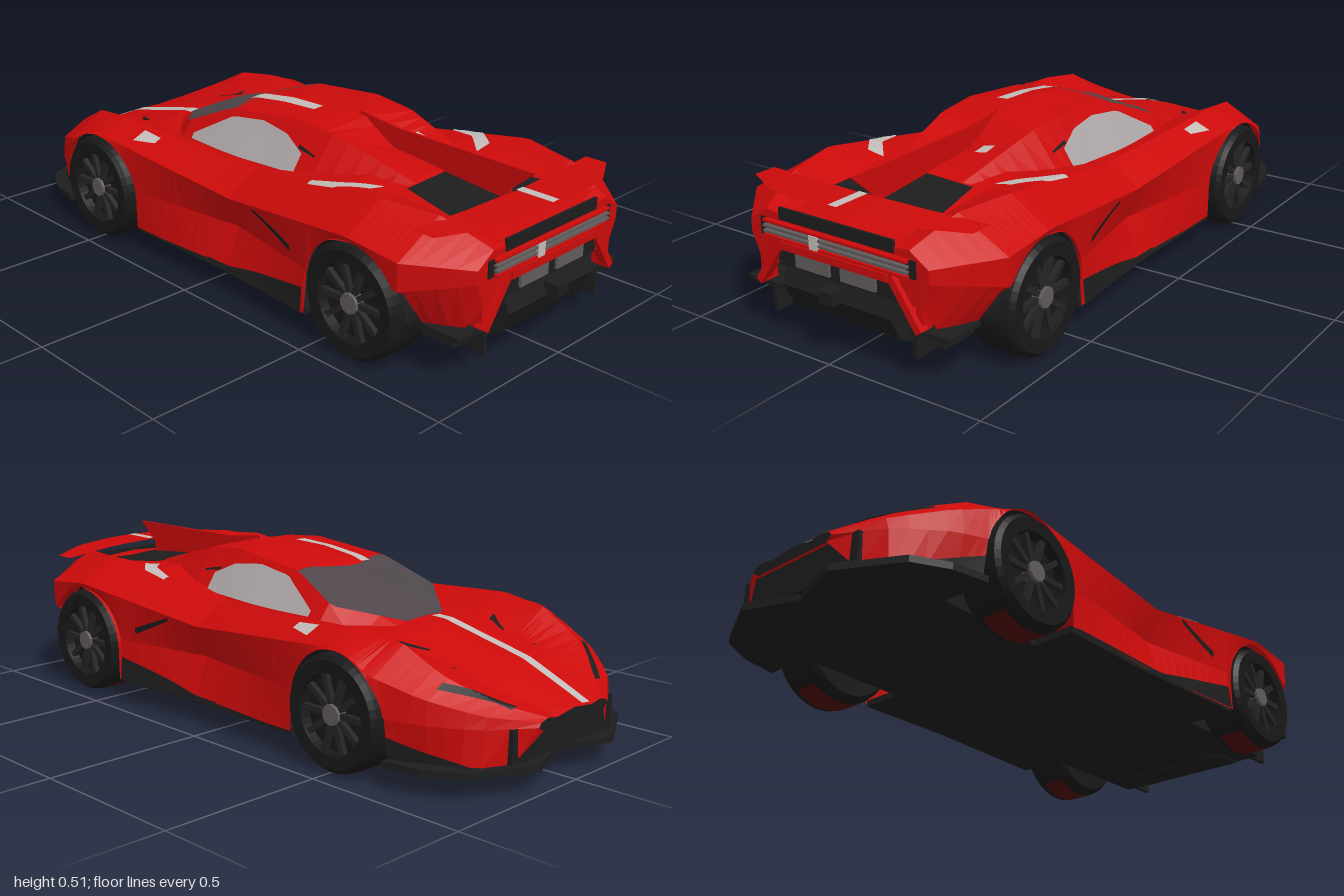
import * as THREE from 'three';

const mat = (name, color) => new THREE.MeshStandardMaterial({ name, color, side: THREE.DoubleSide, flatShading: true });
const M = {
  red: mat('red paint', 0xcc0a0a), black: mat('black carbon', 0x1d1d1d), tyre: mat('tyre rubber', 0x181818),
  rim: mat('dark rim', 0x242424), hub: mat('hub grey', 0x625c5c), glass: mat('windshield glass', 0x4e464a),
  window: mat('side glass', 0xaca5a5), stripe: mat('pale stripe', 0xc2bcb8), tread: mat('dark red tread', 0x500a0a),
};
const AXLES = [-0.51, 0.63], ARCH = 0.178, HUB_Y = 0.168, NOSE = -0.985, TAIL = 0.95;
const { lerp, clamp } = THREE.MathUtils;

// Piecewise straight rail: value over x
const line = (...pts) => x => {
  let i = 0;
  while (i < pts.length - 2 && x > pts[i + 1][0]) i++;
  const [a, b] = [pts[i], pts[i + 1]];
  return lerp(a[1], b[1], clamp((x - a[0]) / (b[0] - a[0]), 0, 1));
};
const flat = v => () => v;
const plus = (f, g) => x => f(x) + g(x);

// Body rails [z, y] from the centre line to the sill
const centreY = line([NOSE, .2], [-.78, .285], [-.5, .35], [.1, .37], [.45, .42], [TAIL, .375]);
const shoulderZ = line([NOSE, .15], [-.9, .29], [-.78, .385], [-.65, .435], [.1, .405], [.62, .45], [.8, .445], [TAIL, .31]);
const BODY = [
  [flat(0), centreY],
  [line([NOSE, .08], [-.78, .18], [-.2, .24], [.1, .24], [.62, .2], [TAIL, .18]), plus(centreY, flat(-.01))],
  [line([NOSE, .12], [-.9, .23], [-.78, .3], [-.5, .33], [.1, .3], [.62, .33], [TAIL, .25]),
    line([NOSE, .197], [-.65, .37], [-.5, .388], [.1, .362], [.62, .438], [.8, .43], [TAIL, .37])],
  [shoulderZ, line([NOSE, .19], [-.5, .35], [.1, .3], [.62, .362], [TAIL, .33])],
  [plus(shoulderZ, line([NOSE, .01], [-.4, .005], [.1, -.04], [.45, -.01], [TAIL, 0])),
    line([NOSE, .178], [-.6, .2], [.45, .2], [TAIL, .29])],
  [line([NOSE, .14], [-.9, .31], [-.65, .43], [.1, .41], [.62, .45], [TAIL, .28]),
    line([NOSE, .165], [-.95, .08], [.45, .07], [.62, .15], [.91, .15], [TAIL, .22])],
];
// Cabin rails: roof ridge sinking between rear buttresses, roof edge, belt line
const CABIN = [
  [flat(0), line([-.46, .362], [-.3, .432], [-.13, .488], [0, .507], [.26, .507], [.38, .432], [.58, .415])],
  [line([-.46, .08], [-.3, .225], [-.13, .19], [.3, .165], [.58, .13]), line([-.46, .358], [-.3, .4], [-.13, .472], [.15, .502], [.3, .49], [.58, .41])],
  [line([-.46, .12], [-.3, .265], [0, .28], [.3, .26], [.58, .17]), line([.15, .35], [.58, .385])],
];
const section = (rails, x) => rails.map(([z, y]) => [z(x), y(x)]);

// Height over z on the top, and width over y on the flank
function topY(rails, x, z) {
  const p = section(rails, x), last = Math.min(p.length - 2, 2);
  let k = 0;
  while (k < last && z > p[k + 1][0]) k++;
  return lerp(p[k][1], p[k + 1][1], (z - p[k][0]) / (p[k + 1][0] - p[k][0]));
}
function sideZ(rails, x, y, first) {
  const p = section(rails, x);
  let k = first;
  while (k < p.length - 2 && y < p[k + 1][1]) k++;
  return lerp(p[k][0], p[k + 1][0], (y - p[k][1]) / (p[k + 1][1] - p[k][1]));
}
// Surface through rows of points
function grid(rows) {
  const n = rows[0].length, idx = [];
  for (let i = 0; i < rows.length - 1; i++) for (let j = 0; j < n - 1; j++) {
    const a = i * n + j, b = a + n;
    idx.push(a, a + 1, b, b, a + 1, b + 1);
  }
  const g = new THREE.BufferGeometry();
  g.setAttribute('position', new THREE.Float32BufferAttribute(rows.flat(2), 3));
  g.setIndex(idx);
  const faceted = g.toNonIndexed();
  faceted.computeVertexNormals();
  return faceted;
}
const steps = (a, b, n) => Array.from({ length: n + 1 }, (_, i) => lerp(a, b, i / n));
const mirrorRow = (x, p) => [...p.slice(1).reverse().map(([z, y]) => [x, y, -z]), ...p.map(([z, y]) => [x, y, z])];

// Body section with the wheel arches cut into its lower edge
function bodySection(x) {
  let edge = 0;
  for (const c of AXLES) if (Math.abs(x - c) <= ARCH + 1e-6) edge = HUB_Y + Math.sqrt(Math.max(0, ARCH ** 2 - (x - c) ** 2));
  return section(BODY, x).map(([z, y], k) => [z, k > 2 ? Math.max(y, edge) : y]);
}

export function createModel() {
  const car = new THREE.Group();
  car.name = 'sportsCar';
  const add = (name, geo, m, x = 0, y = 0, z = 0, parent = car) => {
    const mesh = new THREE.Mesh(geo, m);
    mesh.name = name;
    mesh.position.set(x, y, z);
    parent.add(mesh);
    return mesh;
  };
  const box = (name, m, w, h, d, x, y, z) => add(name, new THREE.BoxGeometry(w, h, d), m, x, y, z);
  const both = (name, geo, m) => { add(name, geo, m); add(name, geo, m).scale.z = -1; };
  const shapeOf = pts => new THREE.Shape(pts.map(p => new THREE.Vector2(...p)));
  const slab = (pts, depth) => new THREE.ExtrudeGeometry(shapeOf(pts), { depth, bevelEnabled: false });
  const plan = (half, depth) => slab([...half, ...half.slice().reverse().filter(p => p[1] > 0).map(([x, z]) => [x, -z])], depth).rotateX(Math.PI / 2);

  // Body shell
  const xs = steps(NOSE, TAIL, 50);
  for (const c of AXLES) {
    xs.push(c - ARCH - 0.0005, c + ARCH + 0.0005);
    for (let k = 0; k <= 20; k++) xs.push(c - ARCH * Math.cos(k * Math.PI / 20));
  }
  xs.sort((a, b) => a - b);
  add('bodyShell', grid(xs.map(x => mirrorRow(x, bodySection(x)))), M.red);

  // Tail and nose closing panels
  for (const [name, x, m] of [['tailPanel', TAIL - 0.001, M.red], ['noseCap', NOSE + 0.001, M.black]]) {
    const s = shapeOf(mirrorRow(x, section(BODY, x)).map(p => [-p[2], p[1]]));
    add(name, new THREE.ShapeGeometry(s).rotateY(Math.PI / 2), m, x);
  }

  // Cabin: windshield, roof and sides
  const strip = (x0, x1, a, b) => grid(steps(x0, x1, 18).map(x => mirrorRow(x, section(CABIN, x)).slice(a, b)));
  add('windshield', strip(-0.46, -0.12, 1, 4), M.glass);
  add('roof', strip(-0.12, 0.58, 1, 4), M.red);
  both('cabinSide', strip(-0.46, 0.58, 3, 5), M.red);

  // Thin patches lying on the top or on the flank; lo and hi depend on x
  const patch = (fn, x0, x1, lo, hi, n = 16) =>
    grid(steps(x0, x1, n).map(x => steps(lo(x), hi(x), 4).map(v => fn(x, v))));
  const onTop = (rails, lift = 0.004) => (x, z) => [x, topY(rails, x, Math.abs(z)) + lift, z];
  const onSide = (rails, first) => (x, y) => [x, y, sideZ(rails, x, y, first) + 0.005];
  const hood = onTop(BODY), roof = onTop(CABIN), flank = onSide(BODY, 3), cabinSide = onSide(CABIN, 1);
  add('roofLip', patch(onTop(CABIN, 0.002), -0.175, -0.12, line([-.175, -.02], [-.12, -.16]), line([-.175, .02], [-.12, .16])), M.red);

  // Windows
  both('sideWindow', patch(cabinSide, -0.24, 0.22, line([-.1, .364], [.22, .372]),
    line([-.24, .38], [-.1, .458], [.03, .474], [.14, .462], [.22, .425]), 24), M.window);
  both('quarterWindow', patch(cabinSide, 0.2, 0.27, line([.2, .435], [.27, .425]), line([.2, .445], [.27, .43])), M.black);

  // Painted stripes and pale patches
  add('hoodStripe', patch(hood, -0.98, -0.45, flat(0.042), flat(0.078), 30), M.stripe);
  add('roofStripe', patch(roof, -0.16, 0.13, flat(0.045), flat(0.085)), M.stripe);
  add('fuelMark', patch(roof, 0.385, 0.43, flat(-0.098), flat(-0.055)), M.stripe);
  both('fenderPatch', patch(hood, -0.37, -0.29, flat(0.345), line([-.37, .395], [-.29, .37])), M.stripe);
  both('rearFenderPatch', patch(hood, 0.35, 0.53,
    line([.35, .305], [.45, .275], [.53, .2]), line([.45, .325], [.53, .26])), M.stripe);

  // Dark panels: engine cover, headlights, hood vents, sills, front corners
  add('engineCover', patch(hood, 0.58, 0.83, line([.58, -.165], [.83, -.205]), line([.58, .165], [.83, .205])), M.black);
  both('headlight', patch(hood, -0.93, -0.79, line([-.93, .18], [-.79, .315]), line([-.93, .205], [-.79, .34])), M.black);
  both('hoodVent', patch(hood, -0.62, -0.54, line([-.62, .16], [-.54, .2]), line([-.62, .172], [-.54, .225])), M.black);
  both('sill', patch(flank, -0.32, 0.44, flat(0.07), line([-.32, .075], [.1, .085], [.22, .11], [.44, .145])), M.black);
  both('frontCorner', patch(flank, -0.9, -0.692, flat(0.08), line([-.9, .083], [-.8, .11], [-.692, .145])), M.black);
  both('sideIntake', patch(flank, 0.22, 0.38, line([.22, .298], [.38, .23]), line([.22, .308], [.38, .25])), M.black);

  // Flat floor with splitter and wheel notches, the inner chassis and arch liners
  add('floor', plan([[-.94, 0], [-1, .17], [-.9, .36], [-.8, .415], [-.69, .435], [-.69, .28], [-.33, .28], [-.33, .415],
    [0, .41], [.45, .43], [.45, .28], [.86, .28], [.86, 0]], 0.02), M.black, 0, 0.083, 0);
  box('frontChassis', M.black, 0.42, 0.22, 0.54, -0.51, 0.18, 0);
  box('rearChassis', M.black, 0.4, 0.28, 0.56, 0.65, 0.22, 0);
  box('noseIntake', M.black, 0.08, 0.1, 0.46, -0.915, 0.13, 0);
  const liner = new THREE.CylinderGeometry(ARCH + 0.002, ARCH + 0.002, 0.17, 24, 1, true, Math.PI / 2, Math.PI).rotateX(Math.PI / 2);
  for (const x of AXLES) for (const s of [-1, 1]) add('archLiner', liner, M.black, x, HUB_Y, s * 0.335);

  // Rear diffuser, strakes and tail details
  add('diffuser', slab([[.75, .06], [.86, .06], [.93, .1], [.965, .17], [.94, .23], [.75, .23]], 0.38), M.black, 0, 0, -0.19);
  box('diffuserTip', M.black, 0.06, 0.035, 0.05, 0.97, 0.19, 0);
  for (const s of [-1, 1]) {
    box('rearStrake', M.black, 0.13, 0.014, 0.13, 0.87, 0.14, s * 0.29);
    box('diffuserFin', M.black, 0.16, 0.07, 0.012, 0.86, 0.1, s * 0.25);
    box('bumperArm', M.red, 0.03, 0.17, 0.022, 0.95, 0.225, s * 0.235).rotation.x = s * -0.6;
    box('bumperPost', M.red, 0.04, 0.13, 0.02, 0.93, 0.22, s * 0.275);
    box('exhaustPanel', M.hub, 0.008, 0.04, 0.12, 0.957, 0.25, s * 0.08);
  }
  box('tailLightBand', M.black, 0.008, 0.035, 0.4, 0.949, 0.368, 0);
  box('tailGrille', M.black, 0.008, 0.05, 0.54, 0.949, 0.32, 0);
  box('lowerGrille', M.black, 0.008, 0.06, 0.42, 0.949, 0.25, 0);
  box('bumperBar', M.red, 0.04, 0.022, 0.38, 0.95, 0.285, 0);
  [[.342, M.red], [.327, M.hub], [.312, M.hub], [.3, M.red]].forEach(([y, m]) => box('tailSlat', m, 0.025, 0.007, 0.5, 0.953, y, 0));
  box('tailMark', M.stripe, 0.008, 0.04, 0.03, 0.963, 0.318, 0.065);

  // Drooping rear wing, its stripe and the central fin
  const wingPoint = lift => (z, x) => [x, 0.43 - 0.11 * z * z + lift, z];
  const mirrored = f => z => f(Math.abs(z));
  add('rearWing', patch(wingPoint(0), -0.38, 0.38, mirrored(line([0, .835], [.2, .82], [.38, .79])),
    mirrored(line([0, .97], [.1, .965], [.25, .935], [.38, .86])), 24), M.red);
  add('wingStripe', patch(wingPoint(0.004), -0.015, 0.015, flat(0.835), flat(0.955), 2), M.stripe);
  add('centralFin', slab([[.24, .5], [.25, .513], [.4, .495], [.885, .49], [.81, .425], [.81, .39], [.5, .4], [.36, .43]], 0.01), M.red, 0, 0, -0.005);

  // Wheels
  const halfTyre = [[.115, .072], [.152, .075], [.164, .062], [.168, .04]];
  const tyreProfile = [...halfTyre.map(([r, w]) => [r, -w]), ...halfTyre.slice().reverse(), [.113, .04]];
  const tyre = new THREE.LatheGeometry(tyreProfile.map(p => new THREE.Vector2(...p)), 40).rotateX(Math.PI / 2);
  const tread = new THREE.CylinderGeometry(0.1685, 0.1685, 0.08, 12, 1, true, -0.6, 1.2).rotateX(Math.PI / 2);
  const disc = new THREE.CylinderGeometry(0.118, 0.118, 0.08, 32).rotateX(Math.PI / 2);
  const hub = new THREE.CylinderGeometry(0.03, 0.032, 0.03, 10).rotateX(Math.PI / 2);
  const spoke = new THREE.BoxGeometry(0.1, 0.017, 0.016);
  for (const x of AXLES) for (const s of [-1, 1]) {
    const wheel = new THREE.Group();
    wheel.name = (x < 0 ? 'front' : 'rear') + 'Wheel';
    wheel.position.set(x, HUB_Y, s * 0.374);
    if (s < 0) wheel.rotation.y = Math.PI;
    add('tyre', tyre, M.tyre, 0, 0, 0, wheel);
    add('tread', tread, M.tread, 0, 0, 0, wheel);
    add('rimDisc', disc, M.tyre, 0, 0, 0, wheel);
    add('hub', hub, M.hub, 0, 0, 0.056, wheel);
    for (let k = 0; k < 10; k++) {
      const a = k * Math.PI / 5;
      add('spoke', spoke, M.rim, 0.068 * Math.cos(a), 0.068 * Math.sin(a), 0.054, wheel).rotation.z = a;
    }
    car.add(wheel);
  }
  return car;
}
